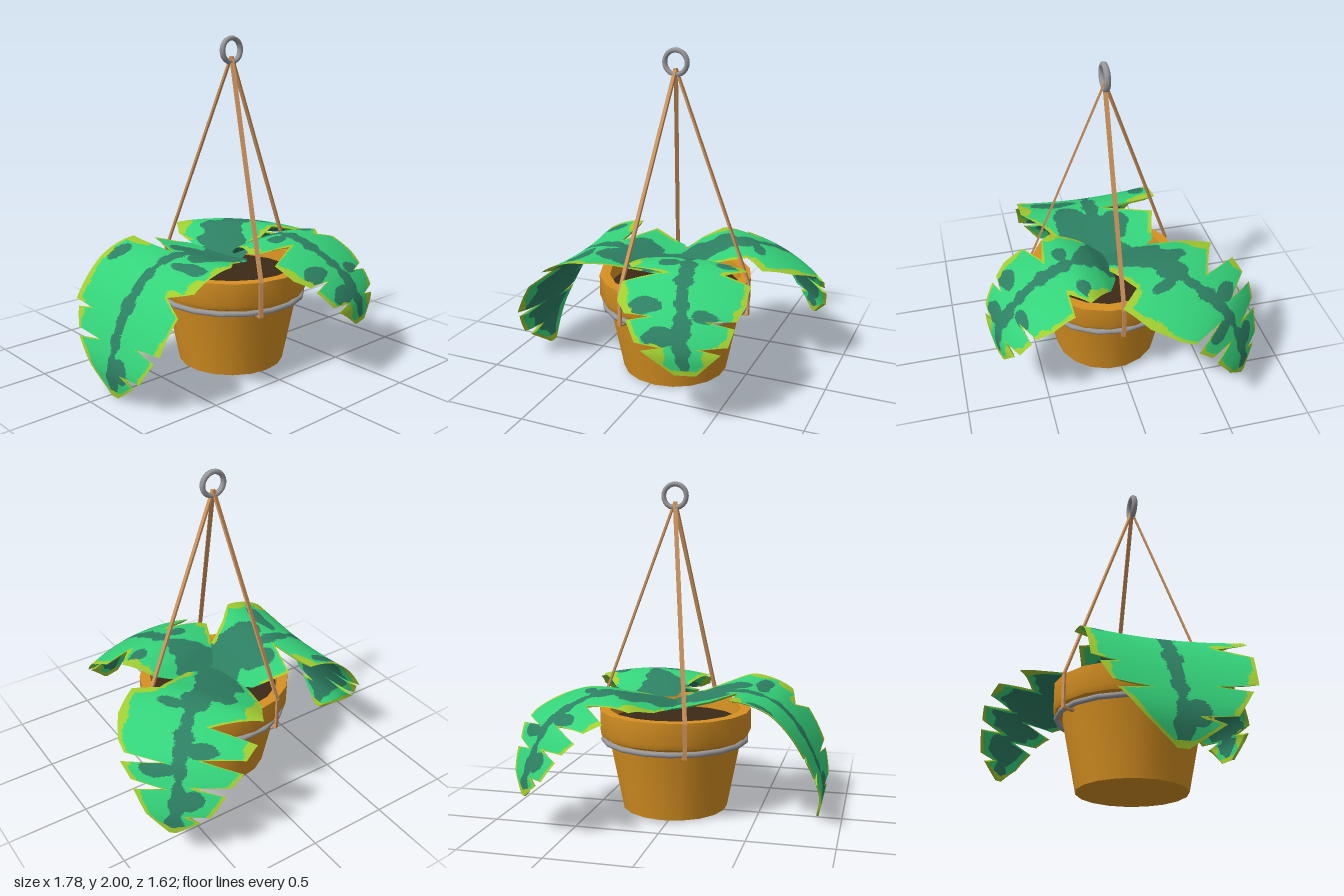
import * as THREE from 'three';
import { toCreasedNormals } from 'three/addons/utils/BufferGeometryUtils.js';

const V = (x, y, z) => new THREE.Vector3(x, y, z);
const CX = 0.035, CZ = 0.03;

// Piecewise-linear lookup in a list of [t, value]
function lerpList(list, t) {
  for (let i = 1; i < list.length; i++) {
    const [t0, a] = list[i - 1], [t1, b] = list[i];
    if (t <= t1) return a + (b - a) * (t - t0) / (t1 - t0);
  }
  return list[list.length - 1][1];
}

// Smooth repeatable wobble, about -1..1
const wobble = (x, y, seed) =>
  (Math.sin(x * 23 + seed) + Math.sin(y * 19 + x * 9 + seed * 2.3) + Math.sin(x * 41 - y * 31 + seed * 1.7)) / 3;

// Inside any of the patches [t, x, radius t, radius x], with an uneven outline
const inPatch = (patches, t, x, b) =>
  patches.some(([pt, px, rt, rx]) => Math.hypot((t - pt) / rt, (x - px) / rx) < 1 + 0.3 * b);

// A notched leaf draped along a spine: plus / minus are half-widths on either side
function makeLeaf({ spine, turn, plus, minus, droop, seed, dark, lime }, mats) {
  const curve = new THREE.CatmullRomCurve3(spine.map(p => V(...p)));
  const M = 44;
  const ts = [...plus, ...minus].map(p => p[0]);
  for (let i = 0; i <= 190; i++) ts.push(i / 190);
  const rows = [...new Set(ts)].sort((a, b) => a - b);
  const top = [], under = [], info = [];
  for (const t of rows) {
    const p = curve.getPointAt(t), tan = curve.getTangentAt(t);
    const az = turn[0] + (turn[1] - turn[0]) * Math.min(1, t / 0.7);
    const side = V(Math.sin(az), 0, -Math.cos(az));
    const n = tan.clone().cross(side).normalize();
    for (let j = 0; j <= M; j++) {
      const s = j / M * 2 - 1;
      const w = lerpList(s > 0 ? plus : minus, t), x = s * w;
      const q = p.clone().addScaledVector(side, x).addScaledVector(n, -droop * x * x);
      top.push(q.x, q.y, q.z);
      q.addScaledVector(n, -0.014 * Math.min(1, (1 - Math.abs(s)) * 6));
      under.push(q.x, q.y, q.z);
      info.push([t, x, w - Math.abs(x)]);
    }
  }
  // 0 leaf green, 1 vein green, 2 lime margin; the underside has a much wider vein
  const colour = (corners, below) => {
    const [t, x, edge] = [0, 1, 2].map(k => corners.reduce((sum, c) => sum + info[c][k], 0) / 3);
    const b = wobble(t * 1.3, x, seed);
    if (t > 0.12 && (edge < 0.025 + 0.035 * Math.max(0, b) || t > 0.975 || inPatch(lime, t, x, b))) return 2;
    const vein = 0.042 + 0.025 * wobble(t * 2, x * 0.4, seed + 3) + 0.55 * Math.max(0, 0.28 - t);
    if (Math.abs(x) < vein || inPatch(dark, t, x, b)) return 1;
    return below && edge > 0.1 + 0.04 * b ? 1 : 0;
  };
  const N = top.length / 3, lists = [[], [], []];
  const face = (a, b, c) => {
    lists[colour([a, b, c], false)].push(a, b, c);
    lists[colour([a, b, c], true)].push(N + a, N + c, N + b);
  };
  for (let i = 0; i < rows.length - 1; i++) for (let j = 0; j < M; j++) {
    const a = i * (M + 1) + j, b = a + M + 1;
    face(a, b, a + 1);
    face(a + 1, b, b + 1);
  }
  const g = new THREE.BufferGeometry();
  g.setAttribute('position', new THREE.Float32BufferAttribute(top.concat(under), 3));
  g.setIndex(lists.flat());
  let start = 0;
  lists.forEach((l, k) => { g.addGroup(start, l.length, k); start += l.length; });
  g.computeVertexNormals();
  return new THREE.Mesh(g, mats);
}

// turn is the heading from +x towards +z at base and tip
const LEAVES = {
  rightLeaf: {
    spine: [[0.08, 0.65, 0.02], [-0.1, 0.69, 0.03], [-0.38, 0.75, 0.03], [-0.57, 0.7, 0.03], [-0.68, 0.61, 0.03], [-0.79, 0.45, 0.03], [-0.87, 0.25, 0.04], [-0.882, 0.15, 0.04], [-0.86, 0.005, 0.04]],
    turn: [Math.PI, Math.PI], droop: -0.13, seed: 1,
    plus: [[0, 0.1], [0.05, 0.18], [0.15, 0.25], [0.24, 0.34], [0.32, 0.46], [0.5, 0.46], [0.545, 0.27], [0.6, 0.45], [0.75, 0.42], [0.765, 0.2], [0.78, 0.38], [0.88, 0.28], [0.89, 0.12], [0.91, 0.22], [1, 0.03]],
    minus: [[0, 0.1], [0.08, 0.32], [0.24, 0.39], [0.315, 0.08], [0.322, 0.44], [0.68, 0.44], [0.69, 0.3], [0.705, 0.4], [0.78, 0.35], [0.79, 0.15], [0.81, 0.33], [0.9, 0.2], [1, 0.03]],
    dark: [[0.43, -0.36, 0.05, 0.05], [0.39, 0.24, 0.035, 0.14], [0.2, 0.13, 0.12, 0.12], [0.3, 0.17, 0.05, 0.1], [0.2, -0.1, 0.08, 0.1], [0.88, 0.08, 0.05, 0.06]],
    lime: [[0.335, -0.4, 0.03, 0.14], [0.56, -0.44, 0.13, 0.035], [0.5, 0.44, 0.06, 0.07], [0.35, 0.45, 0.05, 0.06], [0.53, 0.33, 0.02, 0.1], [0.72, -0.39, 0.05, 0.06], [0.8, 0.39, 0.1, 0.05]],
  },
  backLeaf: {
    spine: [[0, 0.66, 0], [0.2, 0.73, -0.16], [0.365, 0.77, -0.285], [0.52, 0.72, -0.42], [0.64, 0.62, -0.55], [0.69, 0.5, -0.61], [0.74, 0.34, -0.65], [0.76, 0.22, -0.65]],
    turn: [-0.4, -0.78], droop: 0.25, seed: 4,
    plus: [[0, 0.1], [0.1, 0.25], [0.2, 0.36], [0.36, 0.42], [0.5, 0.14], [0.52, 0.42], [0.62, 0.37], [0.66, 0.12], [0.69, 0.36], [0.76, 0.3], [0.78, 0.1], [0.8, 0.27], [0.9, 0.2], [0.91, 0.07], [0.93, 0.15], [1, 0.02]],
    minus: [[0, 0.12], [0.1, 0.17], [0.2, 0.2], [0.3, 0.24], [0.33, 0.25], [0.36, 0.42], [0.5, 0.43], [0.62, 0.38], [0.67, 0.33], [0.69, 0.1], [0.71, 0.35], [0.78, 0.28], [0.8, 0.08], [0.82, 0.26], [0.92, 0.17], [1, 0.02]],
    dark: [[0.18, 0.05, 0.16, 0.14], [0.38, 0, 0.06, 0.1], [0.41, -0.14, 0.03, 0.1], [0.62, 0.1, 0.04, 0.1], [0.72, -0.12, 0.03, 0.1], [0.29, 0.18, 0.05, 0.05], [0.84, 0.08, 0.04, 0.08]],
    lime: [[0.26, 0.38, 0.13, 0.08], [0.36, 0.4, 0.05, 0.09], [0.35, -0.37, 0.03, 0.1], [0.56, 0.4, 0.06, 0.05], [0.5, -0.42, 0.12, 0.05], [0.7, -0.33, 0.04, 0.05]],
  },
  frontLeaf: {
    spine: [[0.08, 0.69, 0.04], [0.15, 0.78, 0.16], [0.23, 0.82, 0.3], [0.28, 0.76, 0.5], [0.34, 0.63, 0.68], [0.38, 0.48, 0.77], [0.4, 0.35, 0.77]],
    turn: [1.45, 1.3], droop: 0.35, seed: 8,
    plus: [[0, 0.2], [0.05, 0.26], [0.1, 0.31], [0.31, 0.34], [0.4, 0.22], [0.44, 0.37], [0.6, 0.35], [0.7, 0.3], [0.72, 0.15], [0.74, 0.29], [0.84, 0.25], [0.86, 0.1], [0.88, 0.21], [1, 0.06]],
    minus: [[0, 0.05], [0.15, 0.2], [0.3, 0.36], [0.35, 0.34], [0.42, 0.14], [0.47, 0.36], [0.6, 0.37], [0.68, 0.32], [0.7, 0.18], [0.72, 0.31], [0.84, 0.26], [0.86, 0.12], [0.88, 0.23], [1, 0.06]],
    dark: [[0.08, -0.03, 0.1, 0.12], [0.3, 0.22, 0.04, 0.07], [0.32, -0.12, 0.04, 0.07], [0.64, -0.2, 0.05, 0.09], [0.7, 0.13, 0.04, 0.08], [0.8, -0.12, 0.05, 0.1]],
    lime: [[0.29, -0.33, 0.07, 0.06], [0.26, 0.33, 0.06, 0.06], [0.58, -0.36, 0.12, 0.05], [0.5, 0.37, 0.08, 0.04], [0.92, 0.16, 0.07, 0.06], [0.92, -0.16, 0.07, 0.06]],
  },
};

export function createModel() {
  const model = new THREE.Group();
  const mat = (name, color) => {
    const m = new THREE.MeshStandardMaterial({ color });
    m.name = name;
    return m;
  };
  const clay = mat('terracotta', 0xd69022), soilMat = mat('soil', 0x3d2a18);
  const metal = mat('grey metal', 0x98989b), ropeMat = mat('tan rope', 0xd0965e);
  const leafMats = [mat('leaf green', 0x34d37a), mat('vein green', 0x2d8063), mat('margin lime', 0xa0cc30)];
  const add = (name, geo, m, x, y, z) => {
    const mesh = new THREE.Mesh(geo, m);
    mesh.name = name;
    mesh.position.set(x, y, z);
    model.add(mesh);
    return mesh;
  };

  // Pot with thick rim, soil inside
  const profile = [[0, 0.01], [0.325, 0.01], [0.412, 0.45], [0.455, 0.47], [0.468, 0.5], [0.468, 0.63], [0.405, 0.63], [0.39, 0.5]];
  const potGeo = new THREE.LatheGeometry(profile.map(p => new THREE.Vector2(...p)), 18);
  add('pot', toCreasedNormals(potGeo, 0.7), clay, CX, 0, CZ);
  add('soil', new THREE.CylinderGeometry(0.395, 0.395, 0.03, 18), soilMat, CX, 0.535, CZ);

  // Metal hoop below the rim, hanging ring on top
  add('potHoop', new THREE.TorusGeometry(0.442, 0.017, 8, 18).rotateX(Math.PI / 2), metal, CX, 0.44, CZ);
  add('hangingRing', new THREE.TorusGeometry(0.07, 0.015, 8, 24).scale(1, 1, 1.25), metal, CX, 1.915, CZ);

  // Three flat ropes, each bending over the rim and looping under the hoop
  [0, 1.934, -1.934].forEach((a, i) => {
    const radial = V(Math.cos(a), 0, Math.sin(a));
    const at = (r, y) => V(CX + radial.x * r, y, CZ + radial.z * r);
    const path = [at(0.002, 1.875), at(0.474, 0.63), at(0.474, 0.425), at(0.41, 0.42)];
    const rope = new THREE.Group();
    rope.name = 'rope' + (i + 1);
    for (let k = 0; k < 3; k++) {
      const p = path[k], q = path[k + 1];
      const strip = new THREE.Mesh(new THREE.BoxGeometry(0.025, 0.012, p.distanceTo(q) + 0.008), ropeMat);
      strip.position.copy(p).lerp(q, 0.5);
      strip.up.copy(k === 2 ? V(0, 1, 0) : radial);
      strip.lookAt(q);
      rope.add(strip);
    }
    model.add(rope);
  });

  // Three broad notched leaves
  for (const [name, spec] of Object.entries(LEAVES)) {
    const leaf = makeLeaf(spec, leafMats);
    leaf.name = name;
    model.add(leaf);
  }
  return model;
}
